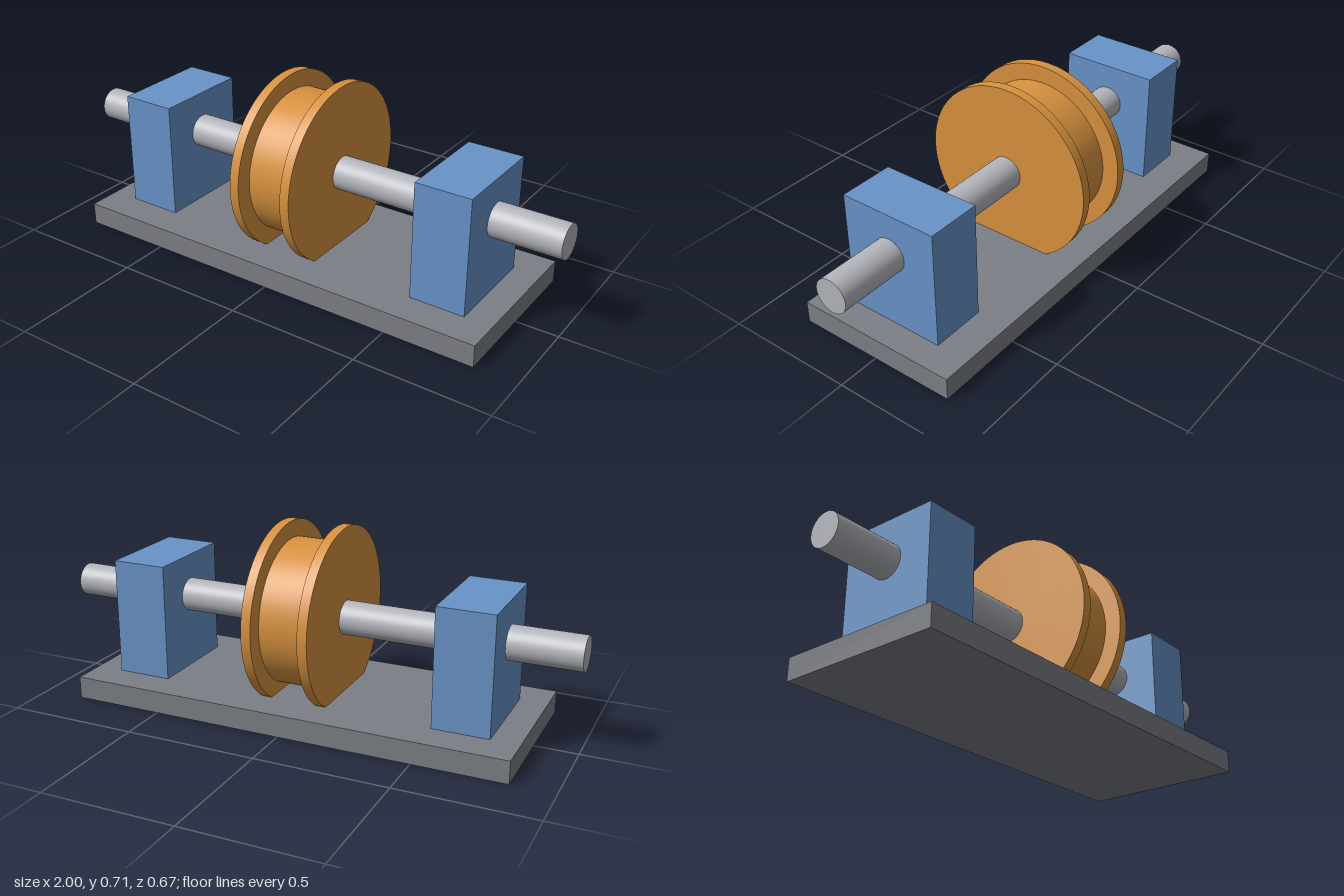
import * as THREE from 'three';
import { toCreasedNormals } from 'three/addons/utils/BufferGeometryUtils.js';

const BASE_TOP = 0.084;
const AXLE_Y = 0.369;

export function createModel() {
  const model = new THREE.Group();
  model.name = 'pulleyStand';

  const paint = (color) => new THREE.MeshStandardMaterial({ color });
  const steel = paint(0xb4b6bc);
  const iron = paint(0x7c7f86);
  const blue = paint(0x6894c8);
  const orange = paint(0xd8923f);

  const add = (name, geometry, material, x, y) => {
    const mesh = new THREE.Mesh(geometry, material);
    mesh.name = name;
    mesh.position.set(x, y, 0);
    model.add(mesh);
    return mesh;
  };

  // Base plate
  add('basePlate', new THREE.BoxGeometry(1.684, BASE_TOP, 0.632), iron, 0, BASE_TOP / 2);

  // Bearing blocks, mirrored left and right
  const blockHeight = 0.526 - BASE_TOP;
  for (const [name, side] of [['leftBearingBlock', 1], ['rightBearingBlock', -1]]) {
    const block = new THREE.BoxGeometry(0.21, blockHeight, 0.379);
    add(name, block, blue, side * 0.632, BASE_TOP + blockHeight / 2);
  }

  // Axle along x
  const axle = new THREE.CylinderGeometry(0.063, 0.063, 2, 64).rotateZ(Math.PI / 2);
  add('axle', axle, steel, 0, AXLE_Y);

  // Grooved wheel: two flanges around a narrower drum
  const rim = 0.337, drum = 0.273, bore = 0.055, outer = 0.126, inner = 0.089;
  const profile = [
    [bore, -outer], [rim, -outer], [rim, -inner], [drum, -inner],
    [drum, inner], [rim, inner], [rim, outer], [bore, outer],
  ].map(([r, h]) => new THREE.Vector2(r, h));
  const wheel = toCreasedNormals(new THREE.LatheGeometry(profile, 72), Math.PI / 6);
  add('groovedWheel', wheel.rotateZ(Math.PI / 2), orange, 0, AXLE_Y);

  return model;
}
